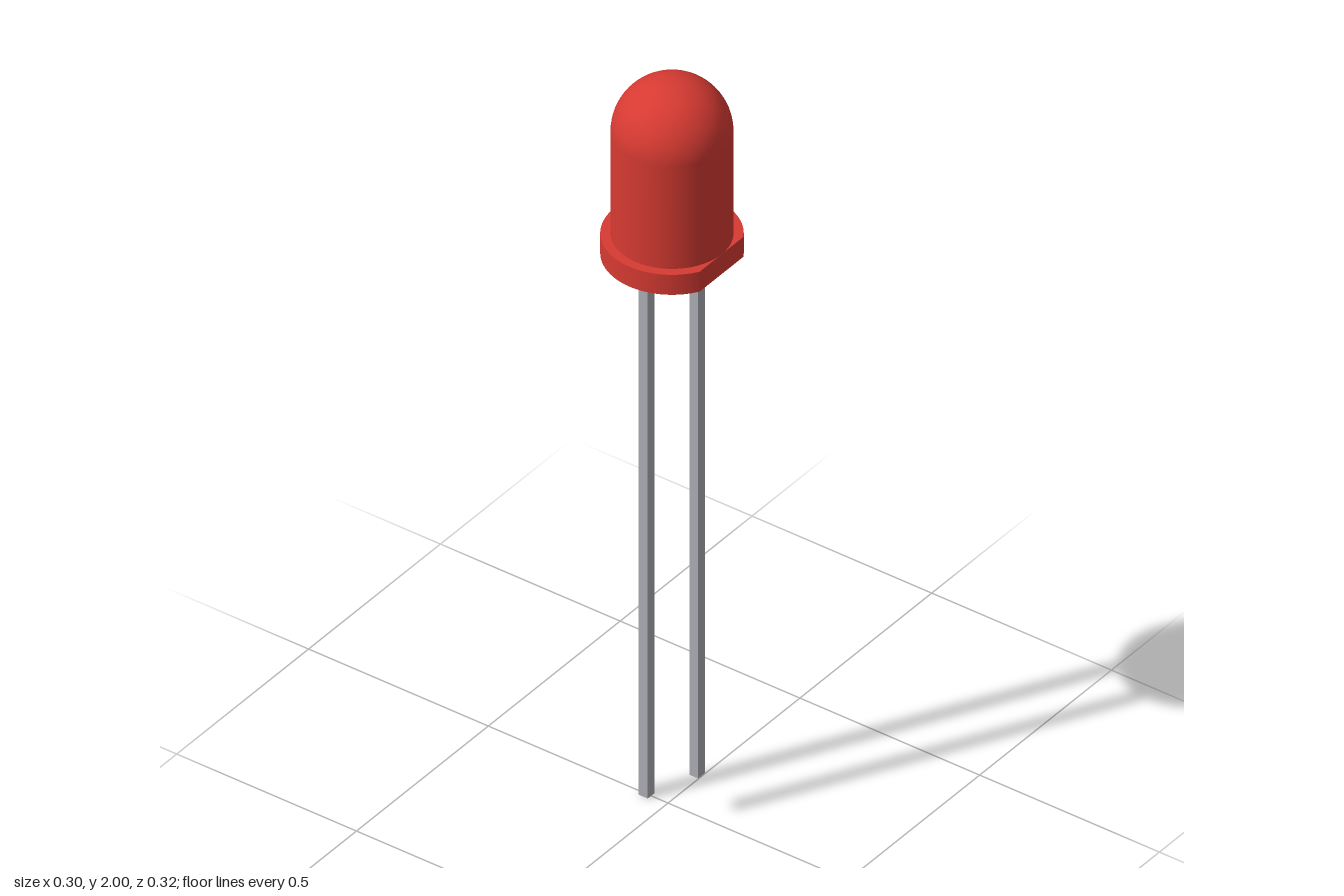
import * as THREE from 'three';
import { toCreasedNormals } from 'three/addons/utils/BufferGeometryUtils.js';

const AXIS_X = 0.011;         // bulb axis; the trimmed rim shifts it off centre
const BULB_R = 0.138, RIM_R = 0.161;
const RIM_Y = 1.525, RIM_TOP = 1.58;

export function createModel() {
  const red = new THREE.MeshStandardMaterial({ color: 0xd63a32 });
  red.name = 'red plastic';
  const metal = new THREE.MeshStandardMaterial({ color: 0xadadb5 });
  metal.name = 'grey metal';

  const model = new THREE.Group();
  model.name = 'indicatorLamp';
  const add = (name, geometry, material, x, y) => {
    const mesh = new THREE.Mesh(geometry, material);
    mesh.name = name;
    mesh.position.set(x, y, 0);
    model.add(mesh);
  };

  // Bulb: straight wall ending in a hemisphere
  const domeY = 2 - BULB_R - RIM_TOP;
  const profile = [new THREE.Vector2(BULB_R, 0)];
  const steps = 20;
  for (let i = 0; i <= steps; i++) {
    const a = (i / steps) * Math.PI / 2;
    profile.push(new THREE.Vector2(i === steps ? 0 : BULB_R * Math.cos(a), domeY + BULB_R * Math.sin(a)));
  }
  add('bulb', new THREE.LatheGeometry(profile, 64), red, AXIS_X, RIM_TOP);

  // Rim: disc with one flat edge on the side of the short lead
  const flat = Math.acos(BULB_R / RIM_R);
  const outline = new THREE.Shape().absarc(0, 0, RIM_R, flat, 2 * Math.PI - flat, false);
  outline.closePath();
  const rim = new THREE.ExtrudeGeometry(outline, {
    depth: RIM_TOP - RIM_Y, bevelEnabled: false, curveSegments: 56,
  }).rotateX(-Math.PI / 2);
  add('rim', toCreasedNormals(rim, 0.4), red, AXIS_X, RIM_Y);

  // Square wire leads of unequal length
  const leads = [
    ['longLead', -0.06, 0, 0.026],
    ['shortLead', 0.081, 0.115, 0.024],
  ];
  for (const [name, x, bottom, width] of leads) {
    const length = RIM_Y - bottom;
    add(name, new THREE.BoxGeometry(width, length, 0.026), metal, x, bottom + length / 2);
  }
  return model;
}
